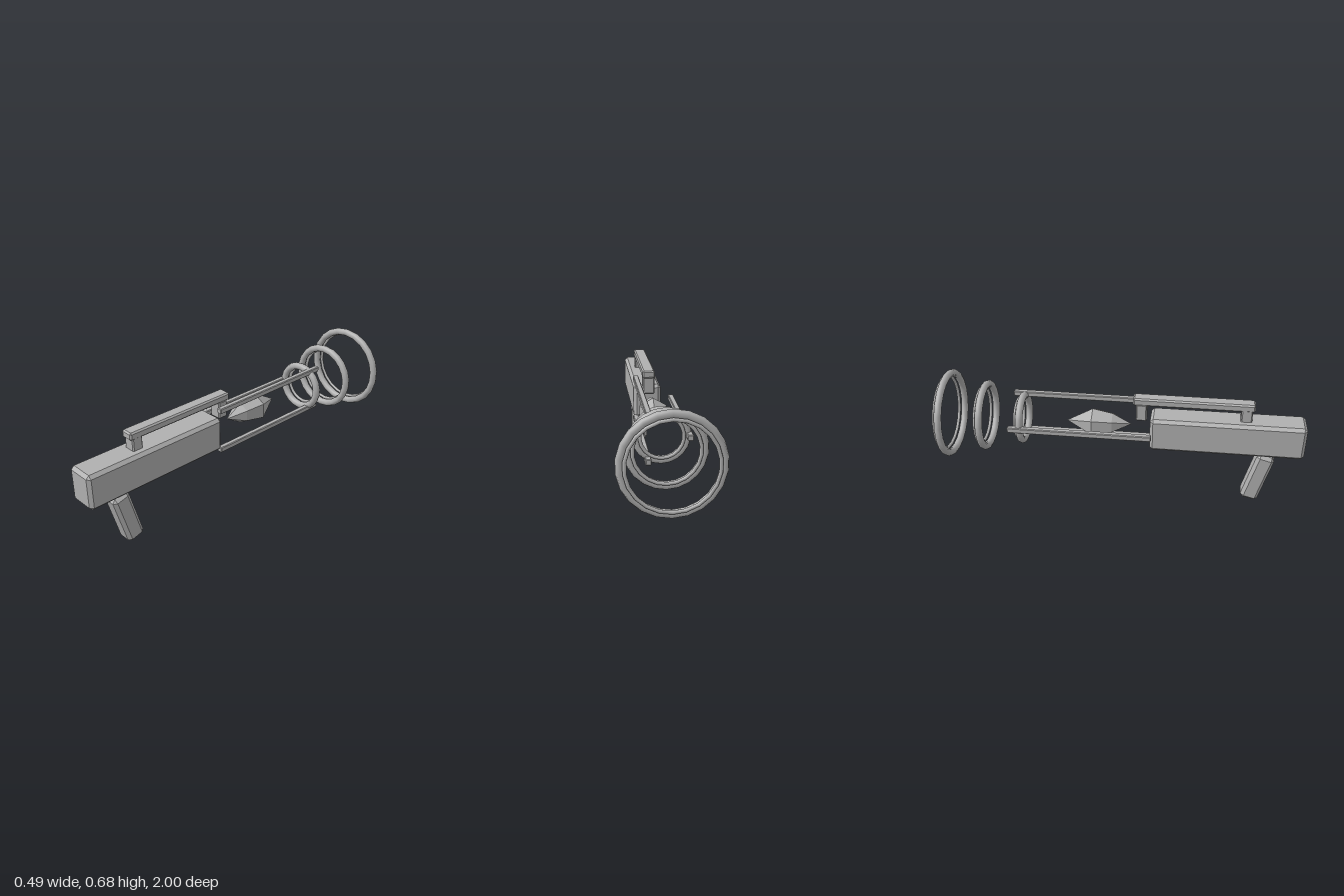
import * as THREE from 'three';
import { ConvexGeometry } from 'three/addons/geometries/ConvexGeometry.js';

const AXIS_Y = 0.433; // height of the barrel axis

// Box with every edge and corner cut by c
function chamferBox(w, h, d, c) {
  const pts = [];
  for (const sx of [-1, 1]) for (const sy of [-1, 1]) for (const sz of [-1, 1]) {
    const x = w / 2, y = h / 2, z = d / 2;
    pts.push(
      new THREE.Vector3(sx * x, sy * (y - c), sz * (z - c)),
      new THREE.Vector3(sx * (x - c), sy * y, sz * (z - c)),
      new THREE.Vector3(sx * (x - c), sy * (y - c), sz * z));
  }
  return new ConvexGeometry(pts);
}

export function createModel() {
  const group = new THREE.Group();
  const grey = new THREE.MeshStandardMaterial({ color: 0xb0b0b0 });
  grey.name = 'plain grey';

  function add(name, geometry, x, y, z) {
    const mesh = new THREE.Mesh(geometry, grey);
    mesh.name = name;
    mesh.position.set(x, y, z);
    group.add(mesh);
    return mesh;
  }

  // Main housing and raked handle
  add('body', chamferBox(0.157, 0.193, 0.835, 0.017), 0, 0.412, 0.5825);
  add('grip', chamferBox(0.098, 0.3, 0.1, 0.018), 0, 0.152, 0.77).rotation.x = 0.26;

  // Top rail on two posts
  add('topRail', chamferBox(0.07, 0.043, 0.65, 0.008), 0, 0.59, 0.395);
  add('rearPost', chamferBox(0.066, 0.1, 0.06, 0.006), 0, 0.54, 0.678);
  add('frontPost', chamferBox(0.066, 0.1, 0.06, 0.006), 0, 0.525, 0.115);

  // Three long rods spaced evenly about the axis
  for (let i = 0; i < 3; i++) {
    const a = Math.PI + i * Math.PI * 2 / 3;
    add('rod' + (i + 1), chamferBox(0.03, 0.03, 0.785, 0.004),
      0.135 * Math.cos(a), AXIS_Y + 0.135 * Math.sin(a), -0.2145);
  }

  // Widening rings, each with a thin inner ring on its far side
  const rings = [[0.146, -0.545], [0.197, -0.755], [0.247, -0.963]];
  rings.forEach(([radius, z], i) => {
    const main = new THREE.TorusGeometry(radius - 0.021, 0.021, 8, 22);
    const thin = new THREE.TorusGeometry(radius - 0.039, 0.009, 8, 22);
    add('ring' + (i + 1), main, 0, AXIS_Y, z).rotation.z = Math.PI / 2;
    add('innerRing' + (i + 1), thin, 0, AXIS_Y, z - 0.028).rotation.z = Math.PI / 2;
  });

  // Six-sided faceted crystal floating between the rods
  const profile = [[0, -0.3], [0.083, -0.155], [0.06, -0.045], [0, 0.06]];
  const crystalPoints = [];
  for (const [r, z] of profile) {
    for (let i = 0; i < (r ? 6 : 1); i++) {
      const a = Math.PI / 2 + i * Math.PI / 3;
      crystalPoints.push(new THREE.Vector3(r * Math.cos(a), r * Math.sin(a), z));
    }
  }
  add('crystal', new ConvexGeometry(crystalPoints), 0, AXIS_Y, 0);

  return group;
}
